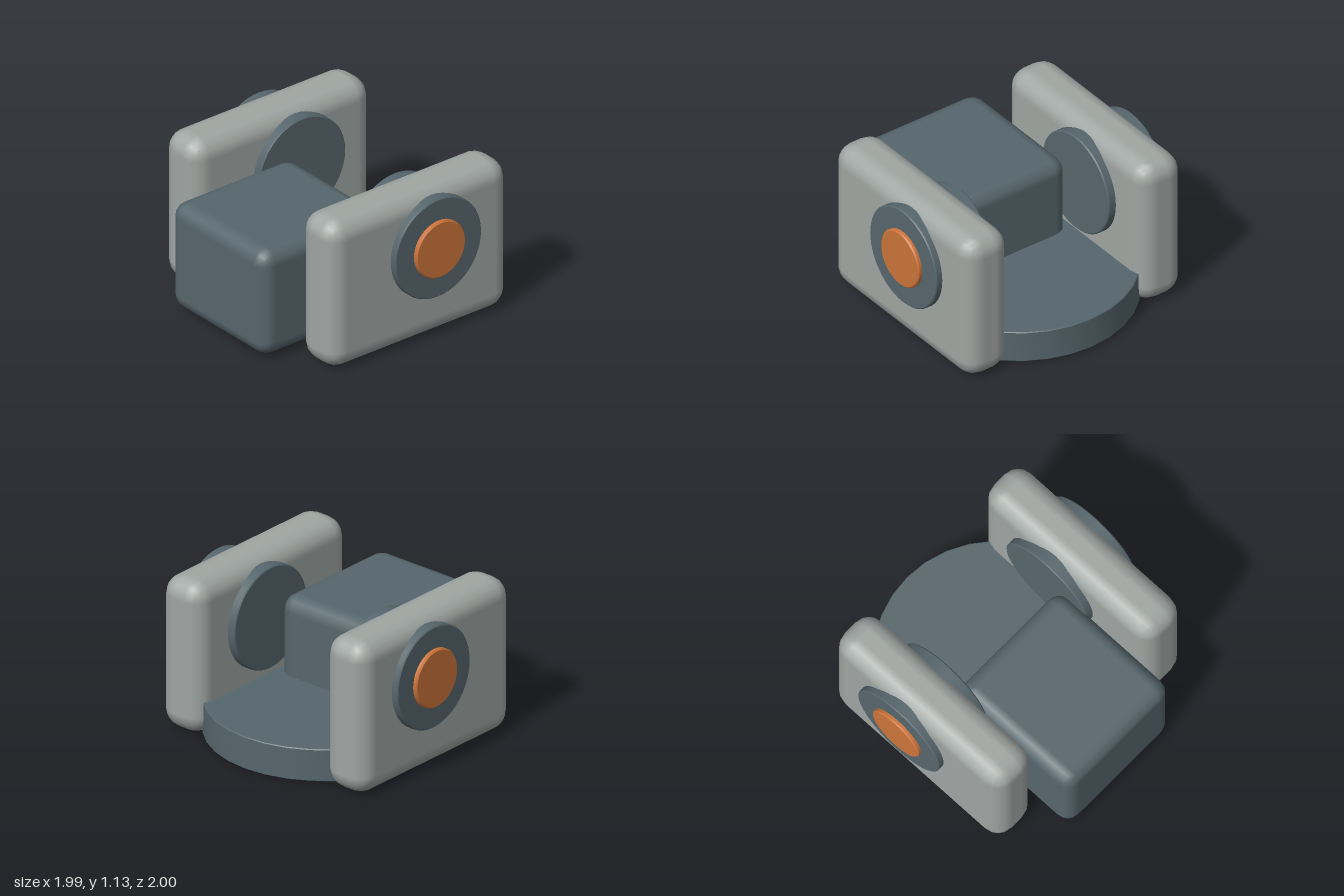
import * as THREE from 'three';
import { RoundedBoxGeometry } from 'three/addons/geometries/RoundedBoxGeometry.js';
import { toCreasedNormals } from 'three/addons/utils/BufferGeometryUtils.js';

// Solid disc with a slight bevel, axis along y, standing on y = 0
function disc(radius, height, bevel, sides) {
  const profile = [
    [0, 0], [radius - bevel, 0], [radius, bevel],
    [radius, height - bevel], [radius - bevel, height], [0, height],
  ].map(([x, y]) => new THREE.Vector2(x, y));
  return toCreasedNormals(new THREE.LatheGeometry(profile, sides), 0.6);
}

// Rounded box given by its extents
function block(x0, x1, y0, y1, z0, z1, radius) {
  return new RoundedBoxGeometry(x1 - x0, y1 - y0, z1 - z0, 2, radius)
    .translate((x0 + x1) / 2, (y0 + y1) / 2, (z0 + z1) / 2);
}

export function createModel() {
  const slate = new THREE.MeshStandardMaterial({ name: 'slate', color: 0x56666d });
  const grey = new THREE.MeshStandardMaterial({ name: 'light grey', color: 0xa0a6a3 });
  const orange = new THREE.MeshStandardMaterial({ name: 'orange', color: 0xcc743a });

  const model = new THREE.Group();
  model.name = 'pivotBracket';
  const add = (name, geometry, material, parent = model) => {
    const mesh = new THREE.Mesh(geometry, material);
    mesh.name = name;
    parent.add(mesh);
    return mesh;
  };

  const cx = 0.153; // shared axis of turntable and pivots
  const cy = 0.707;

  // Turntable and rear housing
  add('turntable', disc(0.835, 0.24, 0.006, 32), slate).position.set(cx, 0.02, 0);
  add('rearHousing', block(-1, 0.057, 0.03, 0.84, -0.51, 0.51, 0.11), slate);

  // Side plate with pivot drum and cap, front and back
  for (const side of [1, -1]) {
    const arm = new THREE.Group();
    arm.name = side > 0 ? 'frontArm' : 'backArm';
    model.add(arm);
    const [z0, z1] = side > 0 ? [0.55, 0.92] : [-0.92, -0.55];
    add('sidePlate', block(-0.738, 0.83, 0.002, 1.137, z0, z1, 0.14), grey, arm);

    const drum = add('pivotDrum', disc(0.377, 0.48, 0.008, 48), slate, arm);
    drum.position.set(cx, cy, side * 0.49);
    const cap = add('pivotCap', disc(0.215, 0.06, 0.01, 40), orange, arm);
    cap.position.set(cx, cy, side * 0.94);
    drum.rotation.x = cap.rotation.x = side * Math.PI / 2;
  }
  return model;
}
